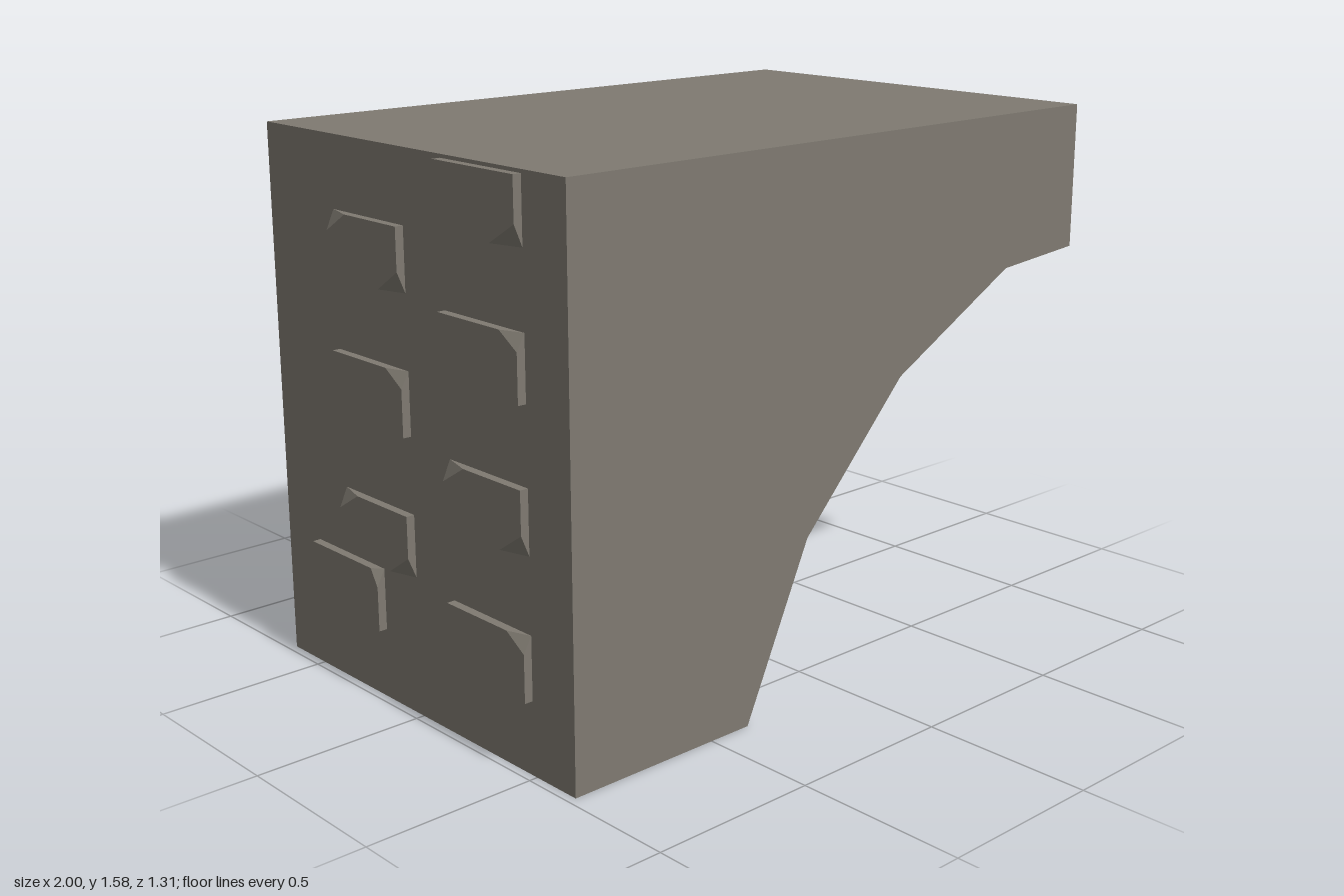
import * as THREE from 'three';
import { ConvexGeometry } from 'three/addons/geometries/ConvexGeometry.js';

const HALF_DEPTH = 0.655;
const WALL_X = -0.975;   // plane the raised stones sit on
const OUTER_X = -1;      // outer face of the raised stones
const STONE_W = 0.325;
const STONE_H = 0.18;

// A raised stone on the wall; each cut corner slopes from the outer face back to the wall.
// Cut corners are named 'top/bottom' + 'Back/Front'.
function stoneGeometry(z, y, cuts) {
  const points = [];
  for (const [side, sz] of [['Back', 0], ['Front', 1]]) {
    for (const [level, sy] of [['bottom', 0], ['top', 1]]) {
      const cz = z + sz * STONE_W;
      const cy = y + sy * STONE_H;
      points.push(new THREE.Vector3(WALL_X, cy, cz));
      const cut = cuts[level + side];
      if (cut) {
        points.push(new THREE.Vector3(OUTER_X, cy, cz + (sz ? -cut[0] : cut[0])));
        points.push(new THREE.Vector3(OUTER_X, cy + (sy ? -cut[1] : cut[1]), cz));
      } else {
        points.push(new THREE.Vector3(OUTER_X, cy, cz));
      }
    }
  }
  return new ConvexGeometry(points);
}

export function createModel() {
  const model = new THREE.Group();
  model.name = 'archBracket';

  const stone = new THREE.MeshStandardMaterial({ color: 0x7f7a71, flatShading: true });
  stone.name = 'warm grey stone';

  // Half-arch block: straight top and back, faceted curve underneath
  const profile = new THREE.Shape([
    [WALL_X, 0], [-0.365, 0], [-0.14, 0.49], [0.23, 0.88],
    [0.69, 1.125], [1, 1.15], [1, 1.58], [WALL_X, 1.58],
  ].map(([x, y]) => new THREE.Vector2(x, y)));
  const blockGeometry = new THREE.ExtrudeGeometry(profile, { depth: HALF_DEPTH * 2, bevelEnabled: false });
  blockGeometry.translate(0, 0, -HALF_DEPTH);
  const block = new THREE.Mesh(blockGeometry, stone);
  block.name = 'archBlock';
  model.add(block);

  // Raised stones scattered in two staggered columns on the wall side
  const bothCorners = { topBack: [0.09, 0.055], bottomFront: [0.09, 0.06] };
  const lowCorner = { bottomFront: [0.1, 0.06] };
  const highCorner = { topFront: [0.07, 0.045] };
  const stones = [
    [0.163, 1.39, lowCorner],
    [-0.335, 1.195, bothCorners],
    [0.163, 1.0, highCorner],
    [-0.335, 0.805, highCorner],
    [0.163, 0.603, bothCorners],
    [-0.335, 0.405, bothCorners],
    [0.163, 0.21, highCorner],
    [-0.49, 0.207, { topFront: [0.03, 0.05] }],
  ];
  const raised = new THREE.Group();
  raised.name = 'raisedStones';
  stones.forEach(([z, y, cuts], i) => {
    const mesh = new THREE.Mesh(stoneGeometry(z, y, cuts), stone);
    mesh.name = `raisedStone${i + 1}`;
    raised.add(mesh);
  });
  model.add(raised);

  return model;
}
